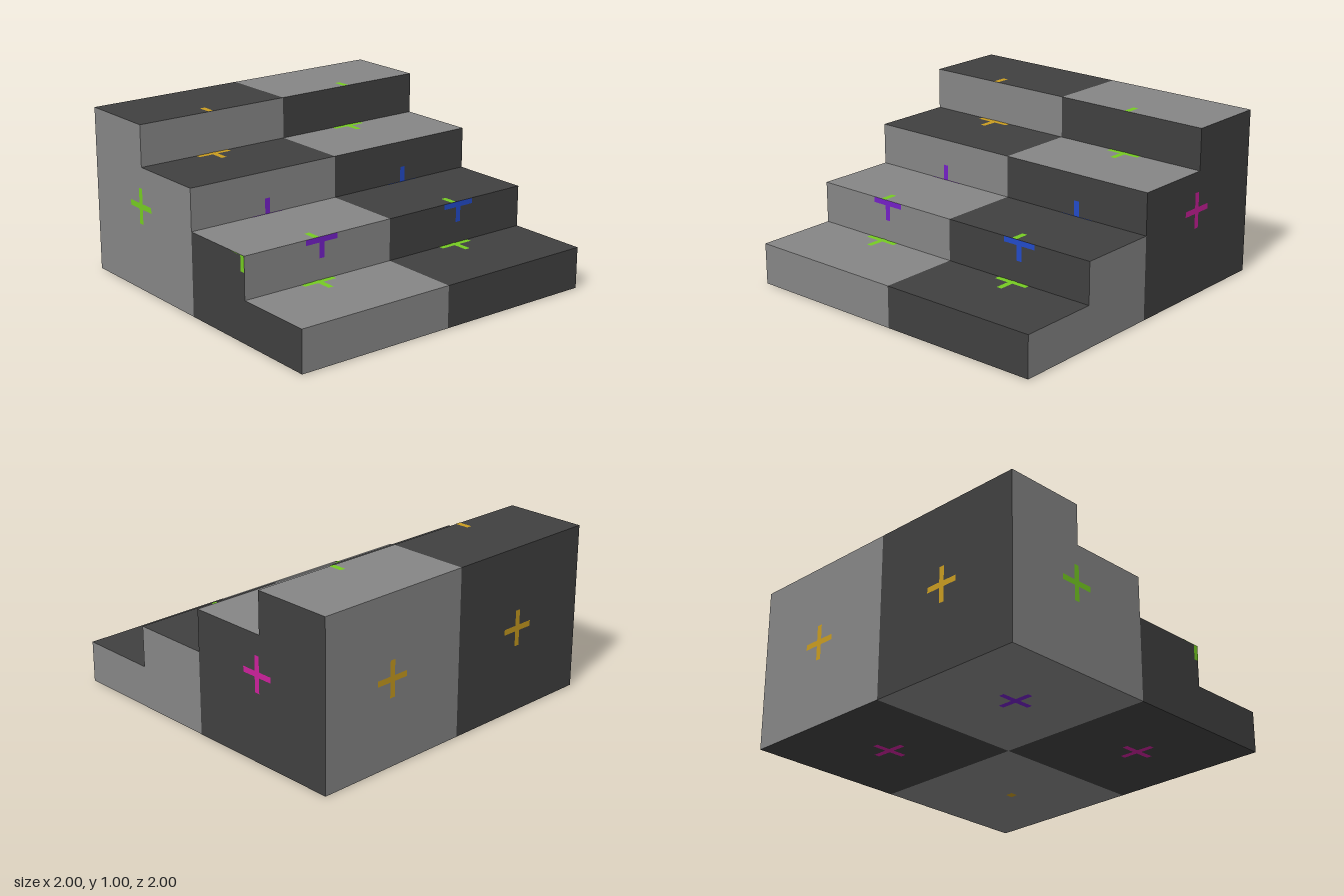
import * as THREE from 'three';

const mat = (name, color) => {
  const m = new THREE.MeshStandardMaterial({ color });
  m.name = name;
  return m;
};

export function createModel() {
  const light = mat('light grey', 0x868686), dark = mat('dark grey', 0x404040);
  const green = mat('green', 0x76cc22), orange = mat('orange', 0xc99c20);
  const purple = mat('purple', 0x7420c6), blue = mat('blue', 0x224ac8);
  const magenta = mat('magenta', 0xcc209c);
  const model = new THREE.Group();
  model.name = 'steps';

  // Each face: rotation of a plane, outward sign, and position from (u, v, depth)
  const P = Math.PI;
  const faces = {
    front: { rot: [0, 0, 0], sign: 1, at: (u, v, d) => [u, v, d] },
    back: { rot: [0, P, 0], sign: -1, at: (u, v, d) => [u, v, d] },
    leftSide: { rot: [0, P / 2, 0], sign: 1, at: (u, v, d) => [d, v, u] },
    rightSide: { rot: [0, -P / 2, 0], sign: -1, at: (u, v, d) => [d, v, u] },
    top: { rot: [-P / 2, 0, 0], sign: 1, at: (u, v, d) => [u, d, v] },
    bottom: { rot: [P / 2, 0, 0], sign: -1, at: (u, v, d) => [u, d, v] },
  };

  function plate(name, face, [u0, u1, v0, v1], d, material) {
    if (u1 - u0 < 1e-4 || v1 - v0 < 1e-4) return;
    const f = faces[face];
    const mesh = new THREE.Mesh(new THREE.PlaneGeometry(u1 - u0, v1 - v0), material);
    mesh.rotation.set(...f.rot);
    mesh.position.set(...f.at((u0 + u1) / 2, (v0 + v1) / 2, d));
    mesh.name = name;
    model.add(mesh);
  }

  // One tile of a face, with its cross mark clipped to the tile
  function tile(name, face, box, d, material, mark) {
    plate(name, face, box, d, material);
    if (!mark) return;
    const [u, v, colour, arm = 0.108] = mark;
    const lift = d + faces[face].sign * 0.002;
    const t = arm < 0.05 ? arm : 0.017;
    for (const [a, b] of [[arm, t], [t, arm]]) {
      plate('crossMark', face, [
        Math.max(box[0], u - a), Math.min(box[1], u + a),
        Math.max(box[2], v - b), Math.min(box[3], v + b),
      ], lift, colour);
    }
  }

  // Four steps rising towards the back
  for (let i = 0; i < 4; i++) {
    const z1 = 1 - i * 0.5, z0 = z1 - 0.5, y0 = i * 0.25, y1 = y0 + 0.25;
    const rear = i > 1;

    // Treads and risers, in a left and a right half
    for (const s of [-1, 1]) {
      const x0 = s < 0 ? -1 : 0, x1 = x0 + 1;
      tile('riser', 'front', [x0, x1, y0, y1], z1, s < 0 ? light : dark,
        s < 0 ? [-0.485, 0.485, purple] : [0.515, 0.485, blue]);
      tile('tread', 'top', [x0, x1, z0, z1], y1, (s > 0) === rear ? light : dark,
        [s < 0 ? -0.52 : 0.48, rear ? -0.48 : 0.52, s < 0 && rear ? orange : green]);
    }

    // Side walls
    tile('leftWall', 'leftSide', [z0, z1, 0, y1], 1, rear ? dark : light,
      rear ? [-0.48, 0.52, magenta] : null);
    tile('rightWall', 'rightSide', [z0, z1, 0, y1], -1, rear ? light : dark,
      [rear ? -0.515 : 0.485, 0.515, green]);
  }

  // Back wall
  tile('backWall', 'back', [0, 1, 0, 1], -1, light, [0.517, 0.515, orange]);
  tile('backWall', 'back', [-1, 0, 0, 1], -1, dark, [-0.483, 0.515, orange]);

  // Underside
  tile('underside', 'bottom', [0, 1, -1, 0], 0, dark, [0.48, -0.48, magenta]);
  tile('underside', 'bottom', [-1, 0, 0, 1], 0, dark, [-0.52, 0.52, magenta]);
  tile('underside', 'bottom', [-1, 0, -1, 0], 0, light, [-0.52, -0.48, purple]);
  tile('underside', 'bottom', [0, 1, 0, 1], 0, light, [0.48, 0.52, orange, 0.024]);

  // Stand the underside marks on y = 0
  model.children.forEach((m) => { m.position.y += 0.002; });
  return model;
}
